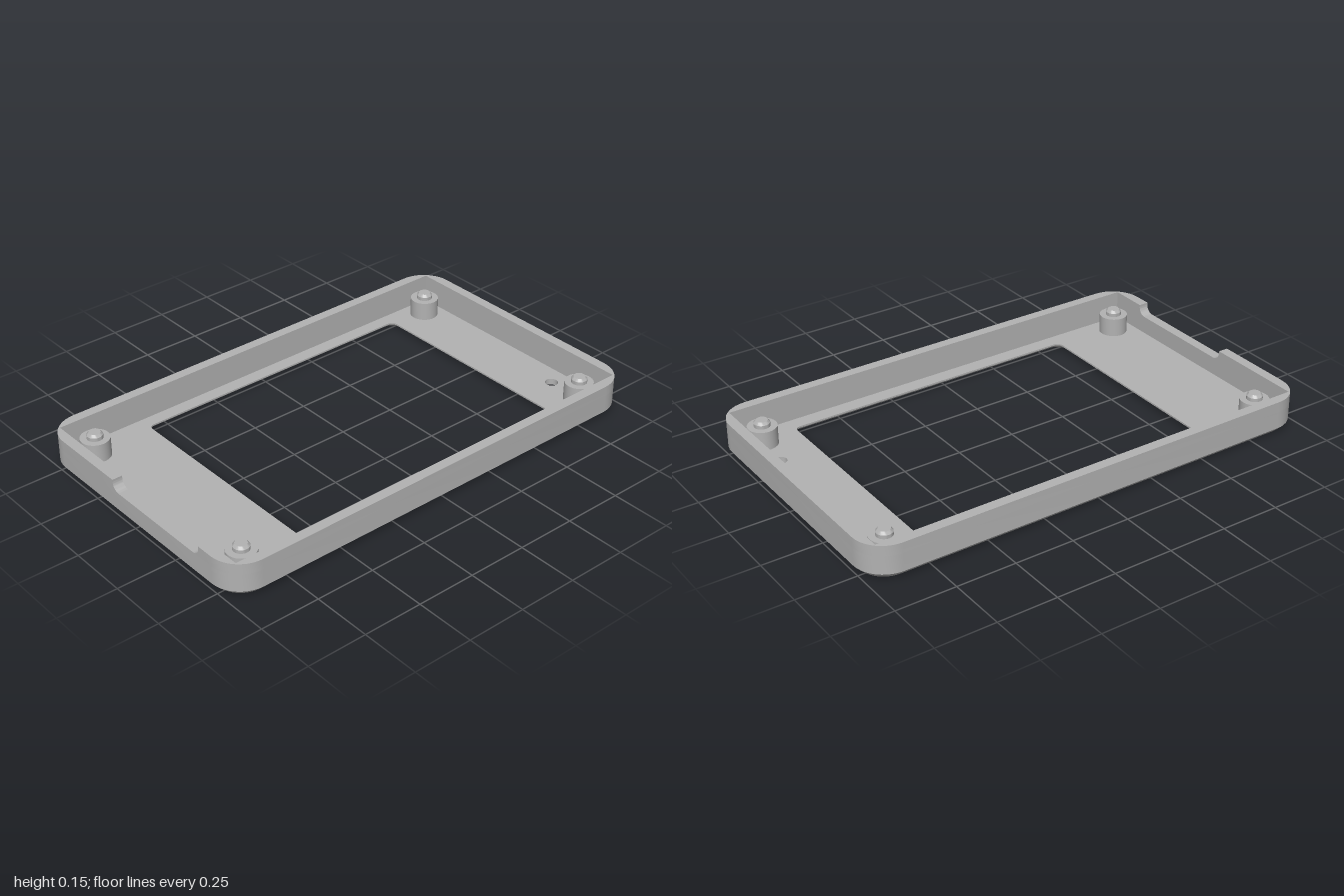
import * as THREE from 'three';
import { toCreasedNormals } from 'three/addons/utils/BufferGeometryUtils.js';

const FLOOR = 0.027, LIP = 0.02, TOP = 0.147, NOTCH = 0.103;
const NX0 = -0.134, NX1 = 0.398, NR = 0.035; // notch ends and fillet
const IX = 0.557, IZ = 0.957;                // cavity half sizes

// Outlines are points in (x, z), running from +x towards +z
function roundRect(x0, x1, z0, z1, r, n = 10) {
  const centres = [[x1 - r, z1 - r], [x0 + r, z1 - r], [x0 + r, z0 + r], [x1 - r, z0 + r]];
  const pts = [];
  centres.forEach(([cx, cz], q) => {
    for (let i = 0; i <= n; i++) {
      const a = (q + i / n) * Math.PI / 2;
      pts.push(new THREE.Vector2(cx + r * Math.cos(a), cz + r * Math.sin(a)));
    }
  });
  return pts;
}

function circle(x, z, r, n = 32) {
  return Array.from({ length: n }, (_, i) => {
    const a = i / n * Math.PI * 2;
    return new THREE.Vector2(x + r * Math.cos(a), z + r * Math.sin(a));
  });
}

function shapeOf(outline, holes = []) {
  const s = new THREE.Shape(outline);
  s.holes = holes.map(h => new THREE.Path(h));
  return s;
}

// Solid slab between two heights
function slab(shape, y0, y1) {
  const g = new THREE.ExtrudeGeometry(shape, { depth: y1 - y0, bevelEnabled: false });
  return toCreasedNormals(g.rotateX(Math.PI / 2).translate(0, y1, 0), 0.5);
}

// Downward-facing flat face
function underside(shape, y) {
  return new THREE.ShapeGeometry(shape).rotateX(Math.PI / 2).translate(0, y, 0);
}

// Band between two outlines: upper first faces outward, lower first faces inward
function band(a, ya, b, yb) {
  const pos = [], idx = [], n = a.length;
  a.forEach((p, i) => pos.push(p.x, ya, p.y, b[i].x, yb, b[i].y));
  for (let i = 0; i < n; i++) {
    const p = 2 * i, q = 2 * ((i + 1) % n);
    idx.push(p, q, p + 1, q, q + 1, p + 1);
  }
  const g = new THREE.BufferGeometry();
  g.setAttribute('position', new THREE.Float32BufferAttribute(pos, 3));
  g.setIndex(idx);
  return toCreasedNormals(g, 0.5);
}

export function createModel() {
  const group = new THREE.Group();
  const grey = new THREE.MeshStandardMaterial({ color: 0xb2b2b2 });
  grey.name = 'grey plastic';
  const add = (name, geometry) => {
    const m = new THREE.Mesh(geometry, grey);
    m.name = name;
    group.add(m);
    return m;
  };

  const outer = roundRect(-0.6, 0.6, -1, 1, 0.13);
  const base = roundRect(-0.573, 0.573, -0.973, 0.973, 0.103);
  const cavity = [[IX, IZ], [-IX, IZ], [-IX, -IZ], [IX, -IZ]].map(p => new THREE.Vector2(...p));
  const opening = roundRect(-0.5, 0.495, -0.71, 0.59, 0.025, 6);
  const openingWide = roundRect(-0.525, 0.52, -0.735, 0.615, 0.05, 6);
  const hole = circle(0.305, -0.875, 0.027);
  const dimple = circle(0, 0.795, 0.05);

  // Floor with screen opening and small round hole
  add('floor', slab(shapeOf(cavity, [opening, hole]), LIP, FLOOR));
  add('outerFace', underside(shapeOf(base, [openingWide, hole, dimple]), 0));
  add('outerChamfer', band(outer, FLOOR, base, 0));
  add('openingChamfer', band(openingWide, 0, opening, LIP));
  add('holeWall', band(hole, 0, hole, LIP));
  add('dimpleWall', band(dimple, 0, dimple, 0.012));
  add('dimpleFace', underside(shapeOf(dimple), 0.012));

  // Side wall: a full ring, then an upper ring broken by the notch
  add('wall', slab(shapeOf(outer, [cavity]), FLOOR, NOTCH));
  const corner = outer.length / 4;
  const v = (x, z) => new THREE.Vector2(x, z);
  const rim = [v(NX0, 1), ...outer.slice(corner), ...outer.slice(0, corner),
    v(NX1, 1), v(NX1, IZ), v(IX, IZ), v(IX, -IZ), v(-IX, -IZ), v(-IX, IZ), v(NX0, IZ)];
  add('upperWall', slab(shapeOf(rim), NOTCH, TOP));

  // Rounded lower corners of the notch
  for (const [x, s] of [[NX0, 1], [NX1, -1]]) {
    const f = new THREE.Shape();
    f.moveTo(x, NOTCH);
    f.lineTo(x + s * NR, NOTCH);
    f.absarc(x + s * NR, NOTCH + NR, NR, -Math.PI / 2, s > 0 ? -Math.PI : 0, s > 0);
    f.lineTo(x, NOTCH);
    const g = new THREE.ExtrudeGeometry(f, { depth: 1 - IZ, bevelEnabled: false, curveSegments: 8 });
    add('notchFillet', toCreasedNormals(g.translate(0, 0, IZ), 0.5));
  }

  // Corner posts with chamfered locating pins
  const profile = [[0.06, FLOOR - 0.003], [0.06, 0.107], [0.033, 0.107], [0.033, 0.122], [0.024, 0.133], [0, 0.133]];
  const post = toCreasedNormals(new THREE.LatheGeometry(profile.map(p => v(...p)), 32), 0.5);
  for (const x of [-0.467, 0.46])
    for (const z of [-0.867, 0.86])
      add('cornerPost', post).position.set(x, 0, z);

  return group;
}
